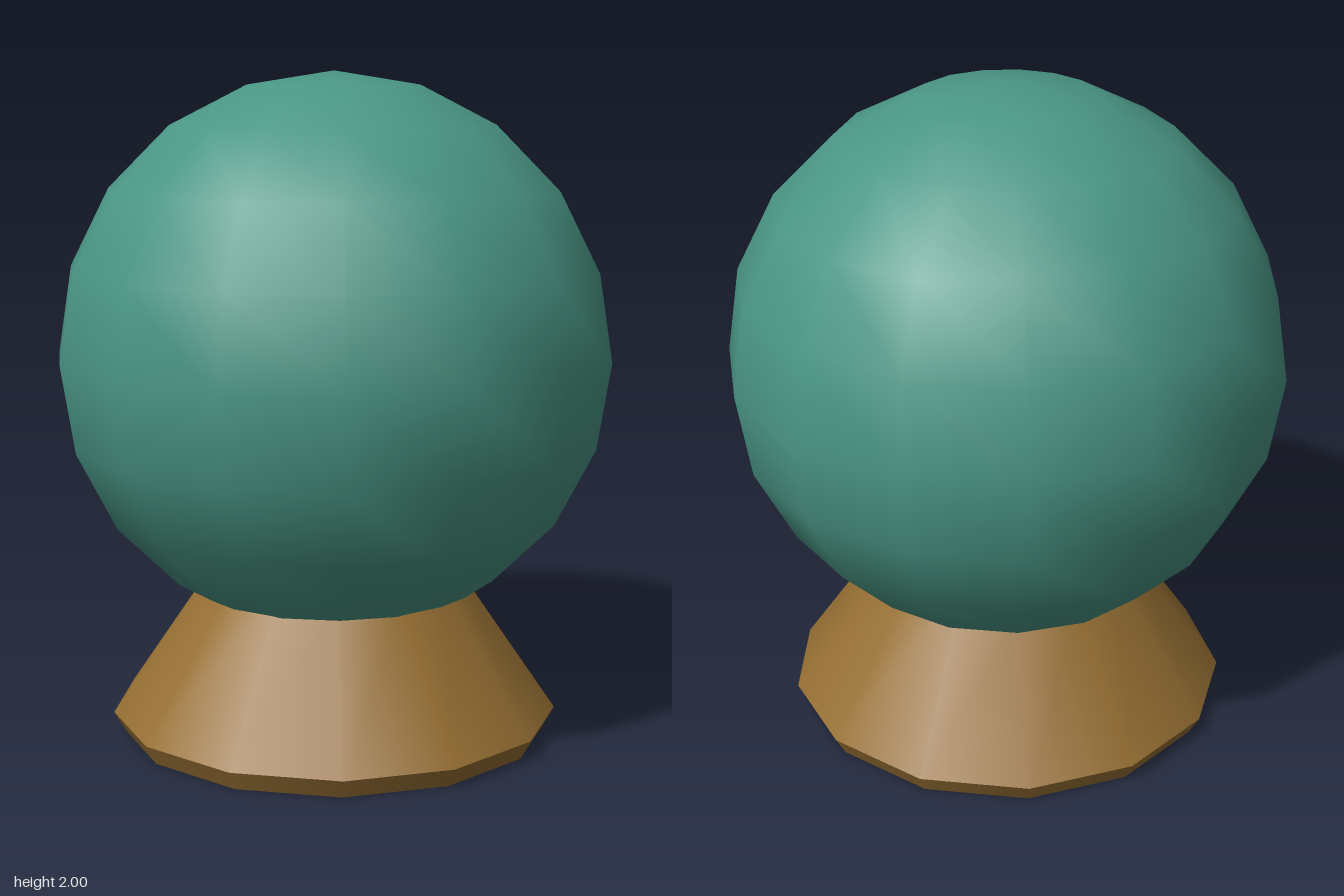
import * as THREE from 'three';

const deg = Math.PI / 180;

export function createModel() {
  const model = new THREE.Group();
  model.name = 'ballOnStand';

  const teal = new THREE.MeshStandardMaterial({ color: 0x4a9685 });
  teal.name = 'teal';
  const brown = new THREE.MeshStandardMaterial({ color: 0x966f33 });
  brown.name = 'brown';

  const add = (name, geometry, material, y) => {
    const mesh = new THREE.Mesh(geometry, material);
    mesh.name = name;
    mesh.position.set(0.005, y, 0.004);
    model.add(mesh);
    return mesh;
  };

  // Ball: coarse sphere with smooth normals
  add('ball', new THREE.SphereGeometry(0.84, 15, 10, 2 * deg), teal, 1.16);

  // Stand: 13-sided tapered body, its top hidden inside the ball
  const sides = 13;
  const turn = 0.5 * deg;
  add('standBody', new THREE.CylinderGeometry(0.379, 0.683, 0.44, sides, 1, true, turn), brown, 0.28);

  // Bevelled foot under the body
  add('standBevel', new THREE.CylinderGeometry(0.683, 0.65, 0.06, sides, 1, true, turn), brown, 0.03);

  // Flat underside
  const underside = add('standUnderside', new THREE.CircleGeometry(0.65, sides, -90 * deg + turn), brown, 0);
  underside.rotation.x = Math.PI / 2;
  underside.geometry.rotateZ(Math.PI);

  return model;
}
